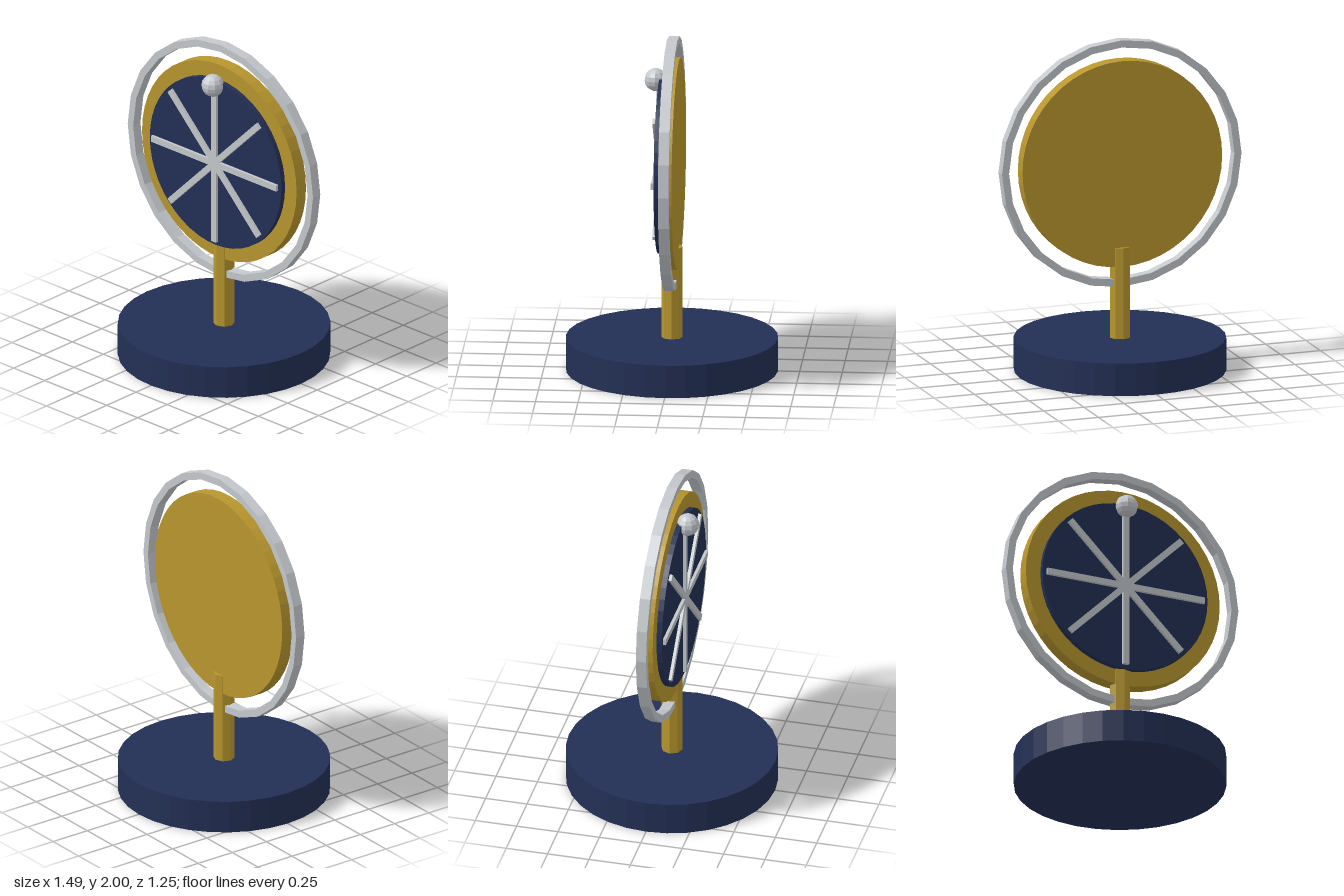
import * as THREE from 'three';

const CENTRE_Y = 1.253;

export function createModel() {
  const model = new THREE.Group();
  model.name = 'wheelTrophy';

  const material = (name, color) => {
    const m = new THREE.MeshStandardMaterial({ color, flatShading: true });
    m.name = name;
    return m;
  };
  const navy = material('navy', 0x232f55);
  const gold = material('gold', 0xb8962e);
  const silver = material('silver', 0xc4c8cc);

  const add = (name, geometry, mat, x, y, z) => {
    const mesh = new THREE.Mesh(geometry, mat);
    mesh.name = name;
    mesh.position.set(x, y, z);
    model.add(mesh);
    return mesh;
  };

  // Upright disc facing +z
  const disc = (radius, depth, sides) =>
    new THREE.CylinderGeometry(radius, radius, depth, sides).rotateX(Math.PI / 2);

  // Stand
  add('base', new THREE.CylinderGeometry(0.623, 0.623, 0.197, 32), navy, 0, 0.0985, 0);
  add('post', new THREE.CylinderGeometry(0.0625, 0.0625, 0.55, 8), gold, 0, 0.472, 0);

  // Layered dial
  add('backDisc', disc(0.623, 0.08, 48), gold, 0, CENTRE_Y, 0);
  add('faceDisc', disc(0.53, 0.04, 48), navy, 0, CENTRE_Y, 0.052);

  // Four crossing bars make eight spokes
  for (let i = 0; i < 4; i++) {
    const bar = add('spokeBar', new THREE.BoxGeometry(1.01, 0.038, 0.03), silver, 0, CENTRE_Y, 0.075);
    bar.rotation.z = (i * Math.PI) / 4;
  }

  // Knob at the top of the dial
  add('knob', new THREE.SphereGeometry(0.068, 10, 8), silver, 0, 1.762, 0.095);

  // Outer hoop of rectangular section, 24 sided
  const profile = [[0.703, -0.031], [0.747, -0.031], [0.747, 0.031], [0.703, 0.031], [0.703, -0.031]]
    .map(([r, y]) => new THREE.Vector2(r, y));
  add('outerHoop', new THREE.LatheGeometry(profile, 24).rotateX(Math.PI / 2), silver, 0, CENTRE_Y, 0);

  return model;
}
